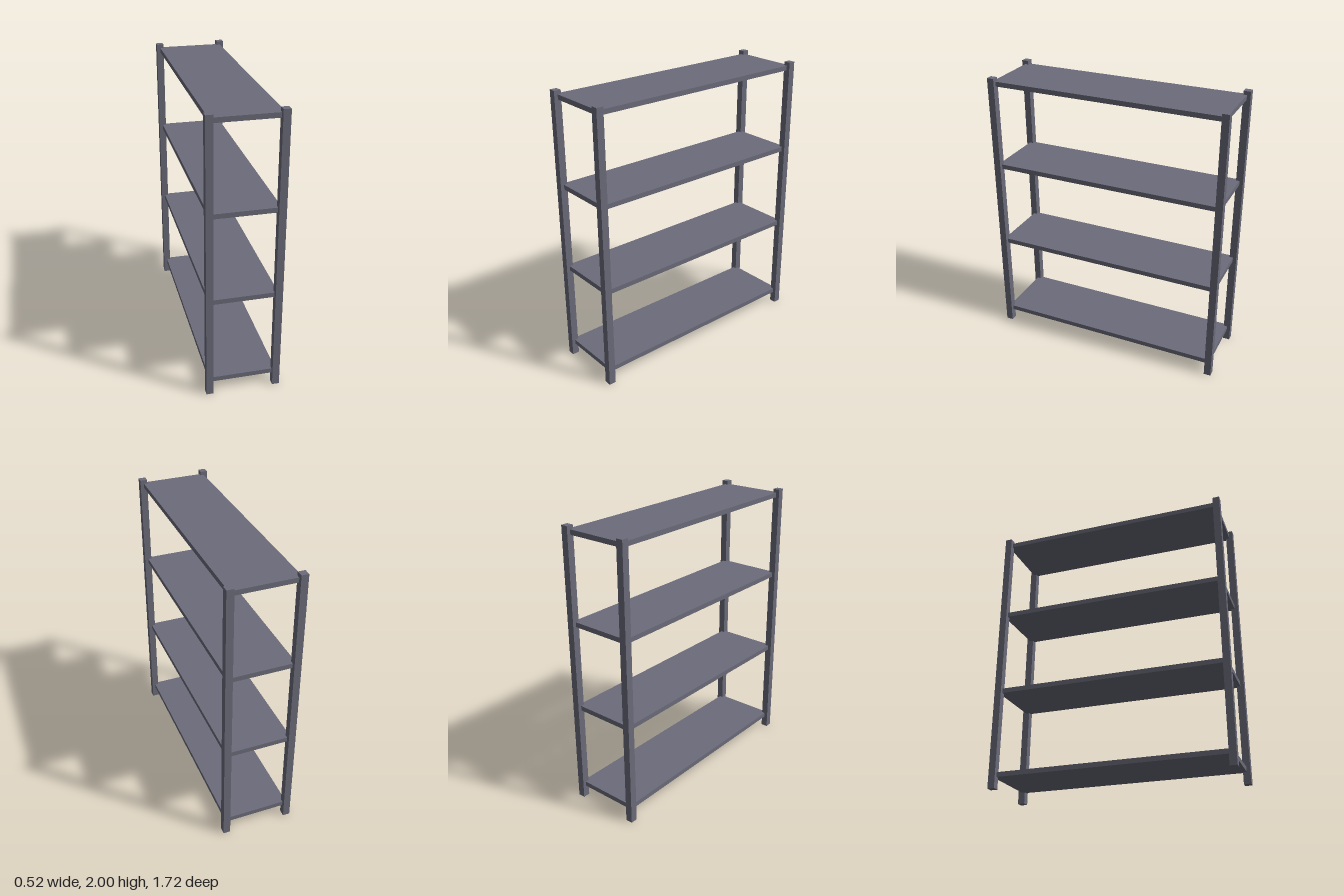
import * as THREE from 'three';

export function createModel() {
  const model = new THREE.Group();
  model.name = 'shelvingUnit';

  const metal = new THREE.MeshStandardMaterial({ color: 0x6b6b7a });
  metal.name = 'greyMetal';

  const halfWidth = 0.233, halfLength = 0.833, height = 2;
  const postSize = 0.05, shelfThickness = 0.034;

  // Four square corner posts
  const postGeometry = new THREE.BoxGeometry(postSize, height, postSize);
  for (const [sx, side] of [[1, 'Left'], [-1, 'Right']]) {
    for (const [sz, end] of [[1, 'front'], [-1, 'back']]) {
      const post = new THREE.Mesh(postGeometry, metal);
      post.name = `${end}${side}Post`;
      post.position.set(sx * halfWidth, height / 2, sz * halfLength);
      model.add(post);
    }
  }

  // Four evenly spaced shelves, reaching to the post centres
  const shelfGeometry = new THREE.BoxGeometry(2 * halfWidth, shelfThickness, 2 * halfLength);
  for (let i = 0; i < 4; i++) {
    const shelf = new THREE.Mesh(shelfGeometry, metal);
    shelf.name = `shelf${i + 1}`;
    shelf.position.y = 0.1 + i * 0.619;
    model.add(shelf);
  }

  return model;
}
